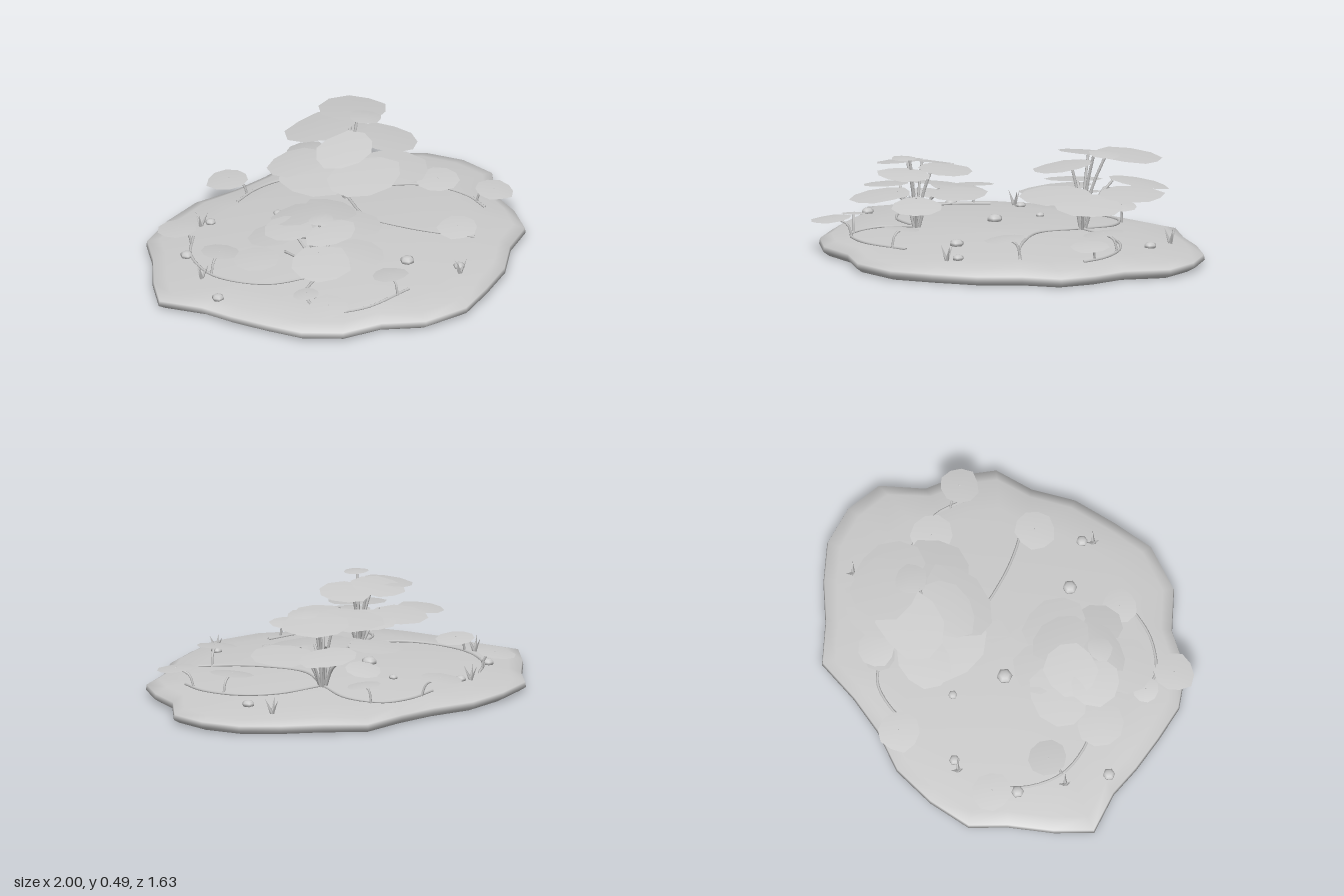
import * as THREE from 'three';

const grey = new THREE.MeshStandardMaterial({ color: 0xcccccc, side: THREE.DoubleSide });
grey.name = 'pale grey';

// Shore outline of the island (x, z), clockwise from its left tip
const OUTLINE = [
  [-1, -.235], [-.89, -.39], [-.74, -.55], [-.635, -.7], [-.43, -.775], [-.21, -.81], [0, -.77],
  [.2, -.765], [.43, -.785], [.59, -.65], [.76, -.54], [.91, -.41], [.99, -.235], [1, -.05],
  [.86, .12], [.82, .29], [.74, .445], [.565, .525], [.4, .66], [.2, .745], [0, .815],
  [-.23, .78], [-.395, .65], [-.59, .59], [-.73, .45], [-.8, .28], [-.86, .11], [-.9, -.05],
];

// Gentle dome
const groundY = (x, z) => Math.max(0.045, 0.112 - 0.05 * ((x / 0.95) ** 2 + (z / 0.79) ** 2));

let seed = 7;
const rand = () => (seed = (seed * 16807) % 2147483647) / 2147483647;

function add(group, geometry, name) {
  const mesh = new THREE.Mesh(geometry, grey);
  mesh.name = name;
  group.add(mesh);
  return mesh;
}

// Skin over scaled copies of the outline; rings are [scale, height], null height follows the dome
function outlineLoft(rings) {
  const n = OUTLINE.length, pos = [], idx = [];
  for (const [s, y] of rings)
    for (const [x, z] of OUTLINE) pos.push(x * s, y ?? groundY(x * s, z * s), z * s);
  for (let r = 0; r < rings.length - 1; r++)
    for (let i = 0; i < n; i++) {
      const a = r * n + i, b = r * n + (i + 1) % n, c = b + n, d = a + n;
      idx.push(b, a, d, b, d, c);
    }
  return finish(pos, idx);
}

function finish(pos, idx) {
  const g = new THREE.BufferGeometry();
  g.setAttribute('position', new THREE.Float32BufferAttribute(pos, 3));
  g.setIndex(idx);
  g.computeVertexNormals();
  return g;
}

// Irregular round leaf, sloping down along the direction (dx, dz)
function leafGeometry(rx, rz, slope, dx, dz) {
  const n = 10, pos = [0, 0, 0], idx = [], turn = rand() * 6;
  const len = Math.hypot(dx, dz) || 1;
  for (let i = 0; i < n; i++) {
    const a = turn + (i / n) * Math.PI * 2, k = 0.92 + rand() * 0.16;
    const x = Math.cos(a) * rx * k, z = Math.sin(a) * rz * k;
    pos.push(x, -0.007 - slope * (x * dx + z * dz) / len, z);
    idx.push(0, 1 + (i + 1) % n, 1 + i);
  }
  return finish(pos, idx);
}

function tube(points, radius, segments = 8) {
  const curve = new THREE.CatmullRomCurve3(points.map(p => new THREE.Vector3(...p)));
  return new THREE.TubeGeometry(curve, segments, radius, 5);
}

// Leafy clump: leaves are [x, z, y, rx, rz, slope]
function makePlant(name, hx, hz, leaves) {
  const plant = new THREE.Group();
  plant.name = name;
  const base = groundY(hx, hz) - 0.01;
  for (const [x, z, y, rx, rz, slope] of leaves) {
    const dx = x - hx, dz = z - hz;
    add(plant, leafGeometry(rx, rz, slope, dx, dz), 'leaf').position.set(x, y, z);
    // Stem meets the leaf towards its inner edge
    const f = 0.55, top = y + slope * Math.hypot(dx, dz) * (1 - f) - 0.006;
    add(plant, tube([
      [hx + dx * 0.05, base, hz + dz * 0.05],
      [hx + dx * 0.22, base + (top - base) * 0.55, hz + dz * 0.22],
      [hx + dx * f, top, hz + dz * f],
    ], 0.007, 6), 'stem');
  }
  return plant;
}

export function createModel() {
  const model = new THREE.Group();
  model.name = 'plantedIsland';

  // Ground
  add(model, outlineLoft([[0.965, 0], [1, 0.02], [0.995, 0.045], [0.93, null], [0.75, null],
    [0.5, null], [0.25, null], [0, null]]), 'ground');
  add(model, outlineLoft([[0, 0], [0.965, 0]]), 'groundUnderside');

  // Large clumps
  model.add(makePlant('tallPlant', 0.27, -0.28, [
    [0.09, -0.3, 0.28, 0.16, 0.19, 0.13], [0.09, -0.44, 0.3, 0.14, 0.12, 0.12],
    [0.24, -0.13, 0.29, 0.2, 0.13, 0.16], [0.43, -0.12, 0.27, 0.17, 0.16, 0.14],
    [0.55, -0.31, 0.31, 0.14, 0.17, 0.1], [0.43, -0.5, 0.32, 0.16, 0.11, 0.12],
    [0.28, -0.58, 0.25, 0.09, 0.08, 0.25],
    [0.235, -0.41, 0.45, 0.19, 0.15, 0.15], [0.44, -0.41, 0.465, 0.16, 0.16, 0.12],
    [0.2, -0.22, 0.41, 0.16, 0.12, 0.2], [0.4, -0.29, 0.485, 0.075, 0.08, 0.1],
  ]));
  model.add(makePlant('shortPlant', -0.36, 0.18, [
    [-0.47, 0.31, 0.27, 0.15, 0.14, 0.14], [-0.24, 0.33, 0.25, 0.12, 0.12, 0.16],
    [-0.12, 0.16, 0.3, 0.12, 0.15, 0.06], [-0.42, -0.03, 0.28, 0.16, 0.12, 0.15],
    [-0.25, -0.01, 0.28, 0.13, 0.13, 0.13], [-0.64, 0.06, 0.26, 0.11, 0.11, 0.1],
    [-0.385, 0.07, 0.405, 0.14, 0.12, 0.2], [-0.23, 0.12, 0.395, 0.11, 0.14, 0.14],
    [-0.5, 0.13, 0.4, 0.11, 0.13, 0.14], [-0.36, 0.27, 0.375, 0.15, 0.08, 0.18],
    [-0.39, 0.235, 0.445, 0.065, 0.055, 0.02],
  ]));

  // Runners creeping over the ground
  const runners = [
    [[0.27, -0.28], [0.19, -0.06], [0.25, 0.12], [0.34, 0.27], [0.45, 0.4]],
    [[0.27, -0.28], [0.5, -0.23], [0.65, -0.1], [0.71, 0.08], [0.69, 0.22]],
    [[0.27, -0.28], [0.3, -0.48], [0.2, -0.63], [0.05, -0.66], [-0.11, -0.63]],
    [[-0.36, 0.18], [-0.58, 0.06], [-0.69, -0.18], [-0.63, -0.4], [-0.49, -0.53]],
    [[-0.36, 0.18], [-0.52, 0.26], [-0.56, 0.42], [-0.4, 0.53], [-0.12, 0.55]],
  ];
  for (const path of runners)
    add(model, tube(path.map(([x, z]) => [x, groundY(x, z) + 0.004, z]), 0.007, 20), 'runner');

  // Low leaves on short arched stems: [x, z, radius, root x, root z]
  const lowLeaves = [
    [-0.09, -0.715, 0.1, -0.02, -0.655], [-0.59, -0.535, 0.09, -0.55, -0.48],
    [-0.61, -0.225, 0.09, -0.69, -0.2], [0.61, -0.02, 0.1, 0.68, -0.04],
    [0.74, 0.235, 0.09, 0.7, 0.15], [0.35, 0.39, 0.095, 0.41, 0.35],
    [-0.61, 0.51, 0.095, -0.53, 0.45], [-0.19, 0.49, 0.085, -0.2, 0.555],
    [-0.6, 0.35, 0.06, -0.56, 0.4], [0.27, -0.57, 0.08, 0.25, -0.6],
  ];
  for (const [x, z, r, rx, rz] of lowLeaves) {
    const g0 = groundY(rx, rz), y = g0 + 0.09;
    add(model, leafGeometry(r, r, 0.12, x - rx, z - rz), 'lowLeaf').position.set(x, y, z);
    add(model, tube([[rx, g0, rz], [rx + (x - rx) * 0.25, g0 + 0.06, rz + (z - rz) * 0.25],
      [x, y - 0.003, z]], 0.006, 6), 'lowStem');
  }

  // Pebbles
  const pebbles = [[-0.64, -0.42, 0.031], [-0.34, -0.57, 0.026], [-0.075, -0.39, 0.022],
    [-0.145, -0.14, 0.038], [0.71, -0.25, 0.031], [-0.82, -0.02, 0.03],
    [0.04, 0.37, 0.035], [0.2, 0.555, 0.028]];
  for (const [x, z, r] of pebbles) {
    const pebble = add(model, new THREE.SphereGeometry(r, 6, 5), 'pebble');
    pebble.scale.y = 0.6;
    pebble.position.set(x, groundY(x, z) + r * 0.25, z);
  }

  // Grass tufts of three leaning blades
  for (const [x, z] of [[-0.39, -0.585], [-0.74, -0.215], [0.7, -0.41], [0.165, 0.595]]) {
    const tuft = new THREE.Group();
    tuft.name = 'grassTuft';
    for (let i = 0; i < 3; i++) {
      const blade = new THREE.ConeGeometry(0.01, 0.085, 4).translate(0, 0.0425, 0);
      const mesh = add(tuft, blade, 'blade');
      mesh.rotation.set(0, i * 2.1 + 0.5, 0.35 + i * 0.08, 'YXZ');
    }
    tuft.position.set(x, groundY(x, z) - 0.004, z);
    model.add(tuft);
  }
  return model;
}
